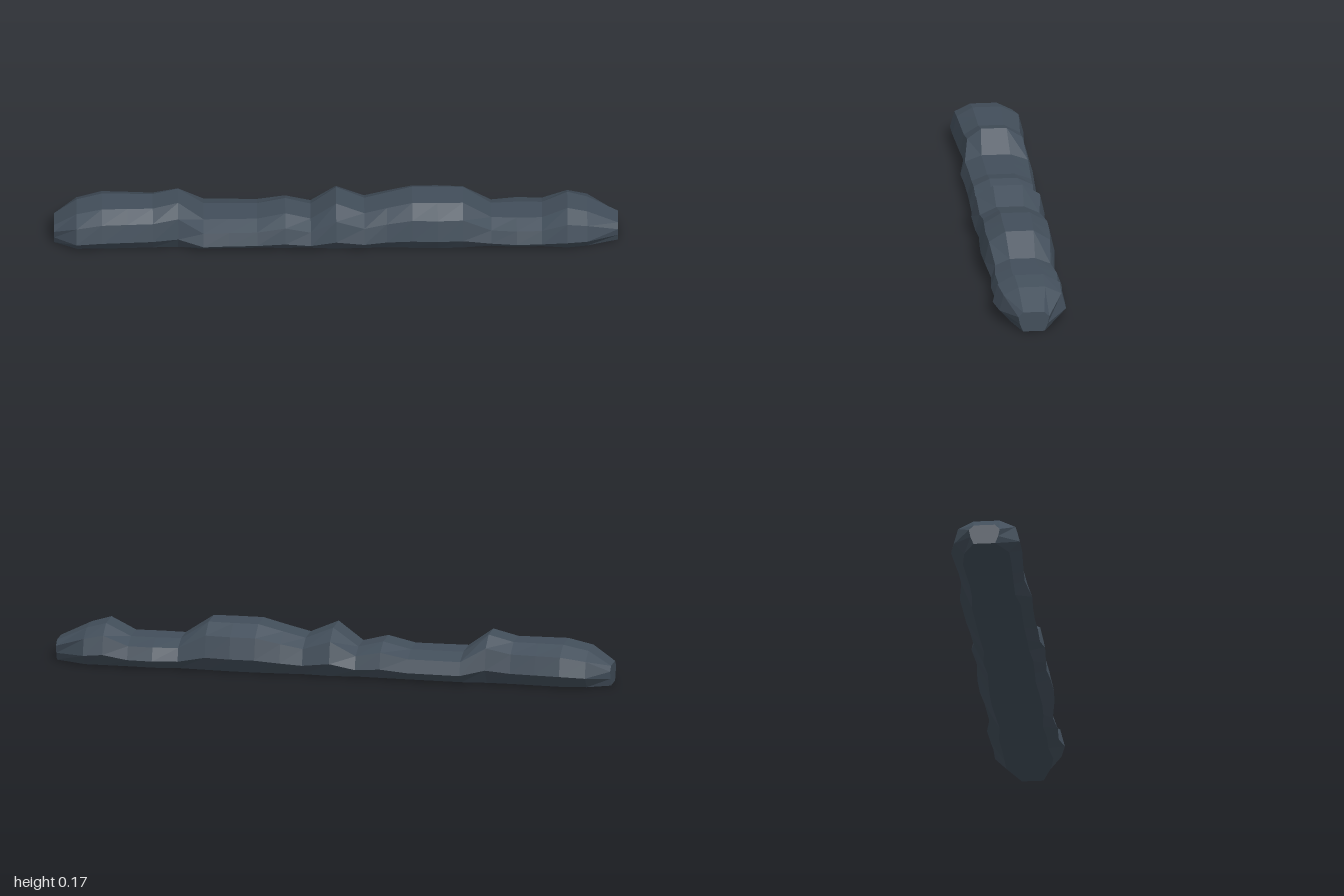
import * as THREE from 'three';

// Stations along the ridge: x, height, half-width to the front, half-width to the back
const STATIONS = [
  [-1, 0.072, 0.055, 0.055], [-0.92, 0.125, 0.12, 0.115], [-0.83, 0.145, 0.12, 0.133],
  [-0.74, 0.145, 0.115, 0.127], [-0.65, 0.145, 0.11, 0.12], [-0.56, 0.168, 0.106, 0.12],
  [-0.47, 0.102, 0.125, 0.133], [-0.38, 0.102, 0.12, 0.13], [-0.28, 0.102, 0.118, 0.127],
  [-0.18, 0.125, 0.12, 0.122], [-0.09, 0.102, 0.12, 0.117], [0, 0.168, 0.13, 0.132],
  [0.1, 0.125, 0.125, 0.12], [0.18, 0.145, 0.12, 0.128], [0.27, 0.168, 0.126, 0.133],
  [0.36, 0.168, 0.13, 0.133], [0.45, 0.168, 0.125, 0.125], [0.55, 0.102, 0.11, 0.116],
  [0.64, 0.102, 0.12, 0.132], [0.73, 0.102, 0.116, 0.127], [0.82, 0.145, 0.13, 0.125],
  [0.89, 0.125, 0.112, 0.125], [1, 0.072, 0.055, 0.055],
];

// Half profile from the ground up: share of half-width, share of height
const BODY = [[0.68, 0], [1, 0.32], [0.87, 0.78], [0.4, 1]];
const TIP = [[0.7, 0], [0.9, 0.38], [1, 0.76], [0.68, 1]];

function ridgeGeometry() {
  const positions = [];
  const index = [];
  const last = STATIONS.length - 1;
  const n = BODY.length * 2;

  // Each ring climbs the front and comes down the back
  STATIONS.forEach(([x, h, front, back], i) => {
    const profile = i === 0 || i === last ? TIP : BODY;
    for (const [w, y] of profile) positions.push(x, y * h, w * front);
    for (const [w, y] of [...profile].reverse()) positions.push(x, y * h, -w * back);
  });

  // Skin between rings, including the flat underside
  for (let i = 0; i < last; i++) {
    for (let j = 0; j < n; j++) {
      const a = i * n + j;
      const b = i * n + ((j + 1) % n);
      index.push(a, a + n, b + n, a, b + n, b);
    }
  }

  // Blunt ends
  const end = last * n;
  for (let j = 1; j < n - 1; j++) {
    index.push(0, j, j + 1);
    index.push(end, end + j + 1, end + j);
  }

  const geometry = new THREE.BufferGeometry();
  geometry.setAttribute('position', new THREE.Float32BufferAttribute(positions, 3));
  geometry.setIndex(index);
  const faceted = geometry.toNonIndexed();
  faceted.computeVertexNormals();
  return faceted;
}

export function createModel() {
  const slate = new THREE.MeshStandardMaterial({ color: 0x424e5a, flatShading: true });
  slate.name = 'slate';

  const group = new THREE.Group();
  group.name = 'rockRidge';
  const ridge = new THREE.Mesh(ridgeGeometry(), slate);
  ridge.name = 'ridge';
  group.add(ridge);
  return group;
}
